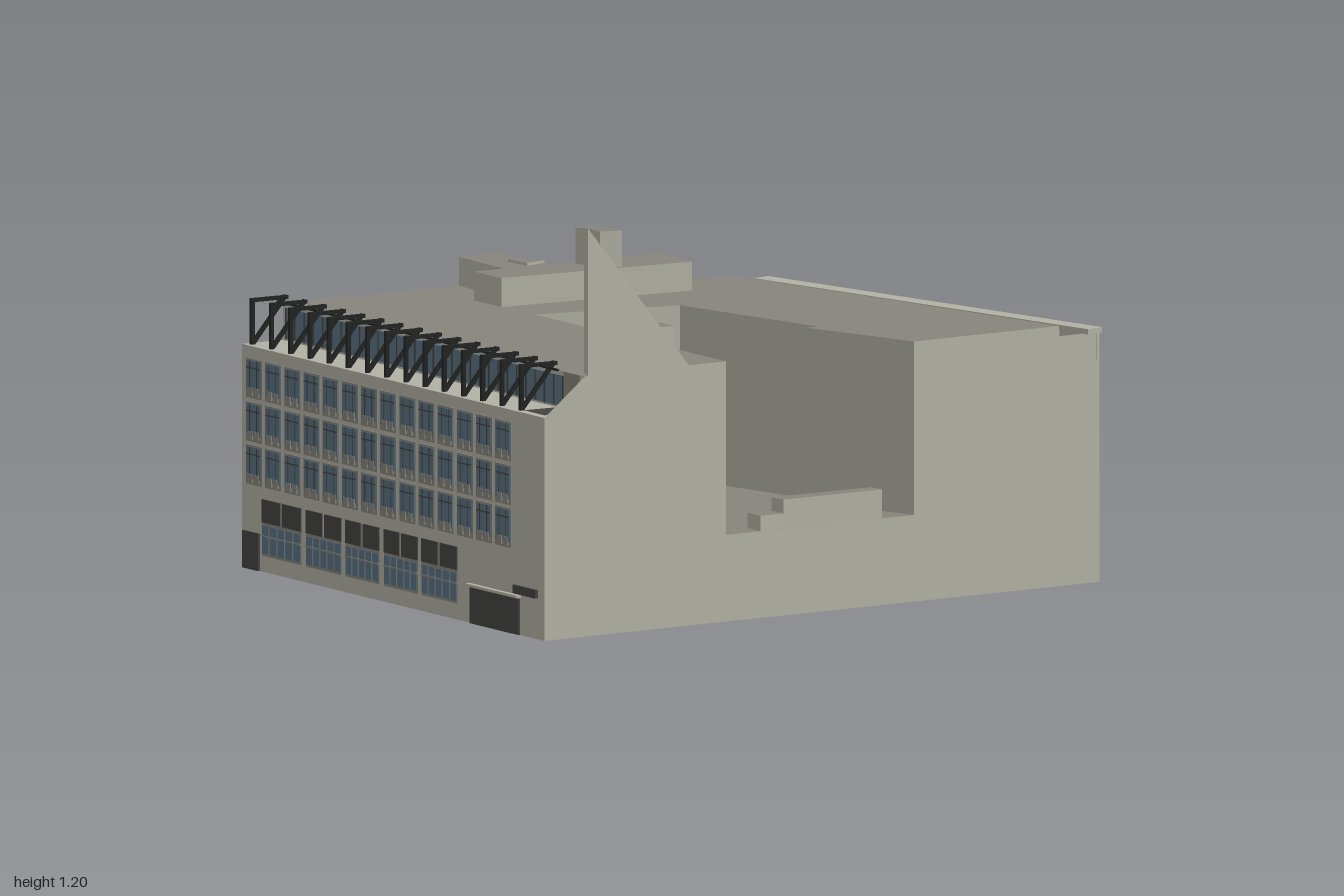
import * as THREE from 'three';

const paint = (name, color, side = THREE.FrontSide) => {
  const m = new THREE.MeshStandardMaterial({ color, side });
  m.name = name;
  return m;
};

export function createModel() {
  const D = THREE.DoubleSide;
  const wall = paint('pale concrete', 0xb2b1a4, D);
  const roof = paint('grey roof', 0x86847b, D);
  const glass = paint('blue glass', 0x587080, D);
  const dark = paint('dark panel', 0x434341, D);
  const steel = paint('black steel', 0x222423);

  const model = new THREE.Group();
  model.name = 'officeBuilding';

  const add = (parent, name, geo, mat) => {
    const m = new THREE.Mesh(geo, mat);
    m.name = name;
    parent.add(m);
    return m;
  };
  // Box given by its centre and size
  const box = (parent, name, mat, x, y, z, w, h, d) =>
    add(parent, name, new THREE.BoxGeometry(w, h, d).translate(x, y, z), mat);
  // Square bar between two points in the plane x = s
  const bar = (parent, name, s, y0, z0, y1, z1, t) => {
    const m = add(parent, name, new THREE.BoxGeometry(t, t, Math.hypot(y1 - y0, z1 - z0) + t), steel);
    m.position.set(s, (y0 + y1) / 2, (z0 + z1) / 2);
    m.rotation.x = -Math.atan2(y1 - y0, z1 - z0);
  };
  const shapeOf = pts => new THREE.Shape(pts.map(([x, z]) => new THREE.Vector2(x, -z)));
  // Flat surface over a plan outline
  const cap = (name, pts, y, mat) =>
    add(model, name, new THREE.ShapeGeometry(shapeOf(pts)).rotateX(-Math.PI / 2).translate(0, y, 0), mat);
  // Solid prism over a plan outline
  const prism = (name, pts, y0, y1, mats) =>
    add(model, name, new THREE.ExtrudeGeometry(shapeOf(pts), { depth: y1 - y0, bevelEnabled: false })
      .rotateX(-Math.PI / 2).translate(0, y0, 0), mats);
  // Faces from corner lists [x, y, z], each fanned into triangles
  const faces = (name, list, mat) => {
    const p = [];
    for (const f of list)
      for (let i = 1; i < f.length - 1; i++) p.push(...f[0], ...f[i], ...f[i + 1]);
    const g = new THREE.BufferGeometry();
    g.setAttribute('position', new THREE.Float32BufferAttribute(p, 3));
    g.computeVertexNormals();
    return add(model, name, g, mat);
  };
  // Closed ring of walls along a plan outline
  const walls = (name, pts, y0, y1) => faces(name, pts.map(([x, z], i) => {
    const [u, w] = pts[(i + 1) % pts.length];
    return [[x, y0, z], [u, y0, w], [u, y1, w], [x, y1, z]];
  }), wall);

  // Plan corners
  const FL = [-1, 0.57], FR = [0.61, 0.97], BR = [0.99, -0.955], BL = [-0.37, -0.975];
  const left = [[-0.405, -0.755], [-0.42, -0.755], [-0.525, -0.235], [-0.79, -0.28]];
  const court = [[0.735, 0.34], [-0.28, 0.09], [-0.1, -0.33], [0.47, -0.32], [0.455, -0.28], [0.865, -0.31]];
  const setFront = [[-0.965, 0.435], [0.638, 0.83]];
  const setBack = [[0.963, -0.815], [-0.391, -0.845]];
  const TERRACE = 0.655, ROOF = 0.765, COURT = 0.255;

  // Open-bottomed shell in three storeys, with a courtyard notch on one side
  const top = [...setFront, ...court, ...setBack, ...left];
  walls('lowerWalls', [FL, FR, BR, BL, ...left], 0, COURT);
  walls('upperWalls', [FL, FR, ...court, BR, BL, ...left], COURT, TERRACE);
  walls('penthouseWalls', top, TERRACE, ROOF);
  cap('mainRoof', top, ROOF, roof);
  cap('courtyardFloor', court, COURT, roof);
  cap('frontTerrace', [FL, FR, setFront[1], setFront[0]], TERRACE, wall);
  cap('backTerrace', [setBack[0], BR, BL, setBack[1]], TERRACE, wall);
  cap('cornerTerraceFloor', [[0.49, 0.932], [0.6, 0.96], [0.633, 0.832], [0.525, 0.806]], TERRACE + 0.006, dark);

  // Terrace end walls
  const at = ([x, z], y) => [x, y, z];
  faces('frontEndWall', [[at(FR, TERRACE), at(setFront[1], TERRACE), at(setFront[1], ROOF)]], wall);
  for (const [a, b] of [[BR, setBack[0]], [BL, setBack[1]]])
    faces('backEndWall', [[at(a, TERRACE), at(b, TERRACE), at(b, 0.735), at(a, 0.735)]], wall);

  // Pointed corner tower and the small box beside it
  const A = [0.64, 1.2, 0.82], B = [0.585, 1.17, 0.78], C = [0.71, ROOF, 0.47];
  const A0 = [0.64, ROOF, 0.82], B0 = [0.585, ROOF, 0.78];
  faces('cornerTower', [[B0, A0, A, B], [A0, C, A], [A, C, B], [B, C, B0]], wall);
  prism('towerBox', [[0.48, 0.67], [0.585, 0.775], [0.635, 0.455], [0.565, 0.44]], ROOF, 0.872, [roof, wall]);

  // Rooftop plant room and chimney
  prism('plantRoom', [[-0.27, -0.555], [-0.45, -0.605], [-0.525, -0.235], [-0.79, -0.28], [-0.82, -0.15],
    [-0.57, -0.08], [-0.595, 0.02], [-0.45, 0.055]], ROOF, 0.85, [roof, wall]);
  prism('chimney', [[-0.485, -0.29], [-0.42, -0.36], [-0.345, -0.34], [-0.375, -0.28], [-0.43, -0.3]], 0.85, 0.957, [roof, wall]);
  prism('roofHatch', [[-0.65, -0.18], [-0.56, -0.165], [-0.56, -0.24], [-0.65, -0.215]], 0.85, 0.858, [roof, wall]);

  // Courtyard parapet, step and vents
  prism('courtyardParapet', [[0.715, 0.13], [0.772, 0.14], [0.842, -0.2], [0.79, -0.21]], COURT, 0.34, [roof, wall]);
  prism('courtyardStep', [[0.69, 0.205], [0.757, 0.22], [0.772, 0.14], [0.71, 0.125]], COURT, 0.3, [roof, wall]);
  prism('courtyardVent', [[0.05, -0.09], [0.08, -0.055], [0.135, -0.09], [0.1, -0.135]], COURT, 0.28, [roof, wall]);
  prism('courtyardVent', [[0.27, 0.08], [0.33, 0.12], [0.34, 0.05], [0.28, 0.06]], COURT, 0.28, [roof, wall]);

  // One office window: frame, panes, mullions and a sill panel
  const windowUnit = (parent, s, y, w, h) => {
    const g = new THREE.Group();
    g.name = 'officeWindow';
    g.position.set(s, y, 0);
    parent.add(g);
    box(g, 'windowFrame', roof, 0, 0, 0.003, w, h, 0.005);
    box(g, 'windowGlass', glass, 0, 0.006, 0.005, w * 0.88, h * 0.8, 0.005);
    for (const k of [-0.22, 0.22]) box(g, 'mullion', dark, k * w, 0, 0.006, 0.004, h * 0.9, 0.006);
    box(g, 'transom', dark, 0, h * 0.27, 0.006, w * 0.86, 0.004, 0.006);
    for (const k of [-0.2, 0.2]) box(g, 'sillPanel', roof, k * w, -h * 0.34, 0.007, w * 0.3, h * 0.22, 0.006);
  };
  const ROWS = [0.308, 0.434, 0.562];

  // Front facade, in its own frame: x runs along the wall, z points outward
  const front = new THREE.Group();
  front.name = 'frontFacade';
  front.position.set(-1, 0, 0.57);
  front.rotation.y = -Math.atan2(0.4, 1.61);
  model.add(front);
  const S = x => (x + 1) / 0.9705;
  for (const y of ROWS)
    for (let i = 0; i < 14; i++) windowUnit(front, S(-0.927 + 0.102 * i), y, 0.088, 0.116);

  // Shopfront bays
  for (const [a, b] of [[-0.89, -0.68], [-0.655, -0.465], [-0.445, -0.265], [-0.24, -0.06], [-0.04, 0.15]]) {
    const s = (S(a) + S(b)) / 2, w = S(b) - S(a);
    box(front, 'bayBack', roof, s, 0.13, 0, w, 0.165, 0.005);
    box(front, 'bayUpperPanel', dark, s, 0.18, 0, w, 0.068, 0.009);
    box(front, 'bayDivider', roof, s, 0.18, 0.002, 0.006, 0.068, 0.009);
    for (let i = 0; i < 5; i++) {
      const p = s + (i - 2) * w / 5;
      box(front, 'bayGlass', glass, p, 0.096, 0, w / 5 - 0.008, 0.082, 0.009);
      box(front, 'bayTransom', roof, p, 0.107, 0.002, w / 5, 0.005, 0.008);
    }
  }
  // Doors and entrance canopy
  const door = (name, a, b, y0, y1, d) =>
    box(front, name, dark, (S(a) + S(b)) / 2, (y0 + y1) / 2, d / 2 - 0.003, S(b) - S(a), y1 - y0, d);
  door('sideDoor', -0.99, -0.905, 0, 0.11, 0.009);
  door('garageDoor', 0.22, 0.48, 0, 0.108, 0.009);
  door('entranceSign', 0.455, 0.575, 0.12, 0.145, 0.012);
  box(front, 'garageCanopy', wall, S(0.35), 0.113, 0.008, 0.28, 0.008, 0.016);

  // Penthouse glazing
  box(front, 'penthouseGlass', glass, 0.79, 0.708, -0.136, 1.52, 0.09, 0.006);
  for (let i = 0; i <= 30; i++)
    box(front, 'penthouseMullion', dark, 0.03 + i * 0.0507, 0.708, -0.133, 0.006, 0.09, 0.006);
  box(front, 'penthouseCornerWall', roof, 1.6, 0.712, -0.135, 0.09, 0.11, 0.008);
  box(front, 'terraceRail', steel, 0.78, 0.772, -0.115, 1.54, 0.006, 0.006);

  // Row of steel terrace frames
  for (let i = 0; i < 15; i++) {
    const s = 0.025 + i * 0.1053;
    bar(front, 'framePost', s, TERRACE, -0.02, 0.785, -0.02, 0.011);
    bar(front, 'frameBeam', s, 0.785, -0.02, 0.785, -0.135, 0.011);
    bar(front, 'frameBrace', s, 0.785, -0.13, 0.662, -0.025, 0.011);
  }

  // Back facade, in its own frame
  const back = new THREE.Group();
  back.name = 'backFacade';
  back.position.set(BR[0], 0, BR[1]);
  back.rotation.y = Math.PI - 0.0147;
  model.add(back);
  for (const y of ROWS)
    for (let i = 0; i < 11; i++) windowUnit(back, 0.235 + i * 0.106, y, 0.092, 0.116);
  // Tall ground-floor glazing between end doors
  for (let i = 0; i < 7; i++) {
    const s = 0.325 + i * 0.147;
    box(back, 'tallFrame', roof, s, 0.123, 0, 0.136, 0.226, 0.005);
    for (const k of [-0.032, 0.032]) box(back, 'tallGlass', glass, s + k, 0.123, 0, 0.058, 0.21, 0.009);
  }
  for (const s of [0.215, 1.31]) {
    box(back, 'endDoor', dark, s, 0.07, 0, 0.06, 0.1, 0.009);
    box(back, 'endDoorGlass', glass, s, 0.18, 0, 0.06, 0.1, 0.009);
  }
  // Recessed top glazing, floating beam and its brackets
  box(back, 'recessedGlass', glass, 0.7, 0.706, -0.13, 1.28, 0.085, 0.006).rotation.y = -0.007;
  box(back, 'parapetBeam', wall, 0.675, 0.742, -0.028, 1.37, 0.016, 0.058);
  for (let i = 0; i < 12; i++) {
    const s = 0.18 + i * 0.106;
    box(back, 'beamBracket', dark, s, 0.728, -0.07, 0.01, 0.012, 0.13);
    box(back, 'beamPost', wall, s, 0.695, -0.012, 0.012, 0.08, 0.02);
  }
  box(back, 'solidEndWall', wall, 0.075, 0.694, -0.006, 0.15, 0.08, 0.01);

  return model;
}
